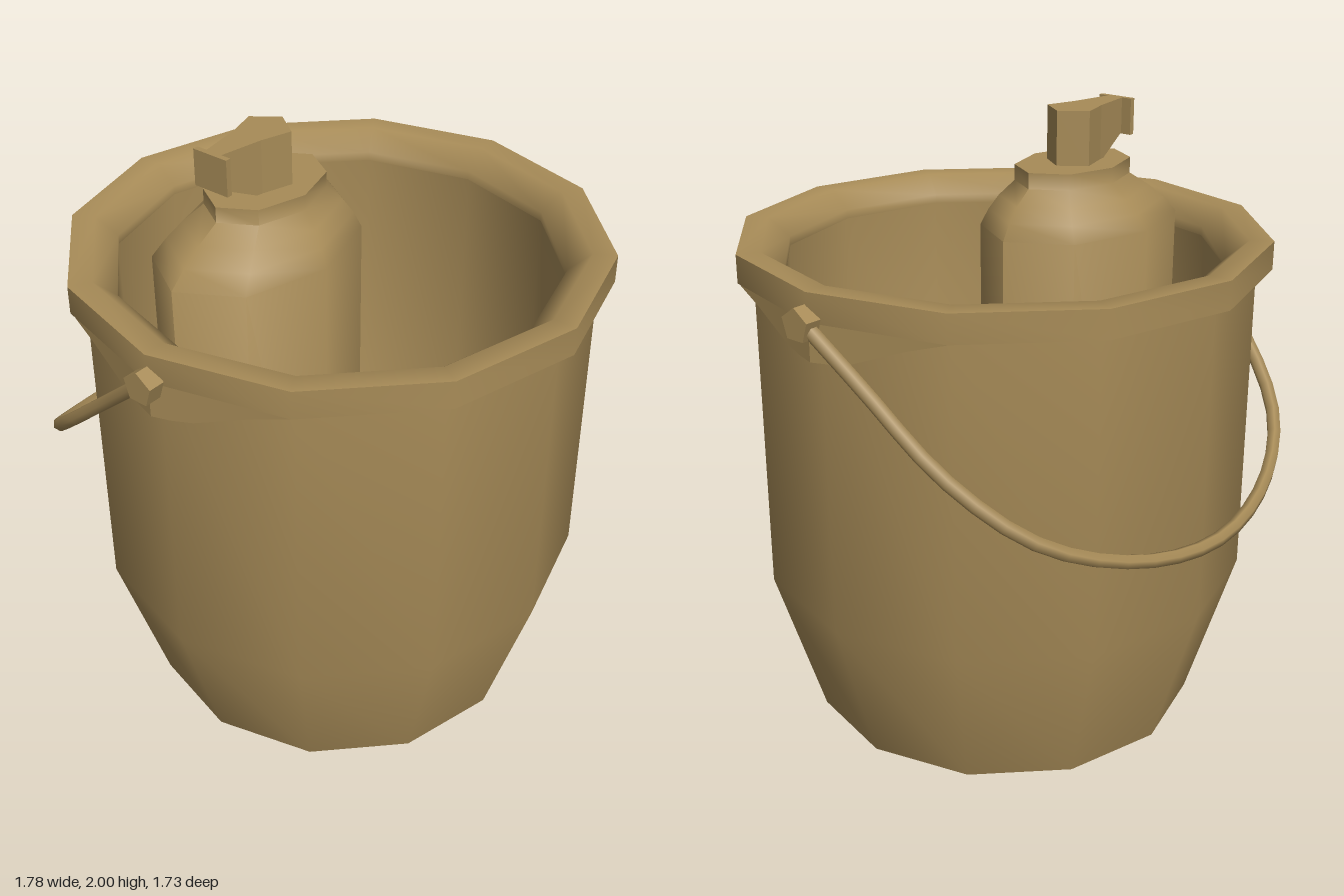
import * as THREE from 'three';
import { toCreasedNormals } from 'three/addons/utils/BufferGeometryUtils.js';

const material = new THREE.MeshStandardMaterial({ color: 0xa88c58 });
const CZ = 0.01; // bucket axis

function add(parent, name, geometry, x = 0, y = 0, z = 0) {
  const mesh = new THREE.Mesh(geometry, material);
  mesh.name = name;
  mesh.position.set(x, y, z);
  parent.add(mesh);
  return mesh;
}

function lathe(profile, sides) {
  return new THREE.LatheGeometry(profile.map(([r, y]) => new THREE.Vector2(r, y)), sides);
}

// Applies a rule to every vertex
function reshape(geometry, rule) {
  const p = geometry.attributes.position;
  const v = new THREE.Vector3();
  for (let i = 0; i < p.count; i++) {
    rule(v.fromBufferAttribute(p, i));
    p.setXYZ(i, v.x, v.y, v.z);
  }
  geometry.computeVertexNormals();
  return geometry;
}

function extrude(points, depth) {
  const shape = new THREE.Shape(points.map(([x, y]) => new THREE.Vector2(x, y)));
  return new THREE.ExtrudeGeometry(shape, { depth, bevelEnabled: false });
}

// Half of the curved gusset under the rim, following the rim's facets
function gusset(side, dir) {
  const half = [[0, 1.54], [0, 1.41], [0.06, 1.413], [0.13, 1.425], [0.3, 1.49], [0.43, 1.53], [0.43, 1.54]];
  const points = half.map(([z, y]) => [z * dir, y]);
  const g = extrude(points, 0.09);
  g.rotateY(side * Math.PI / 2);
  g.translate(side * 0.755, 0, 0);
  return reshape(g, (v) => {
    v.x -= side * 0.268 * Math.abs(v.z);
  });
}

export function createModel() {
  const model = new THREE.Group();
  model.name = 'bucketWithBottle';

  // Bucket: underside, outer wall, then the rounded inside
  const bucket = lathe([
    [0, 0.05], [0.645, 0], [0.8, 0.51], [0.8, 1.54],
    [0.71, 1.54], [0.7, 0.55], [0.62, 0.3], [0.48, 0.16], [0.26, 0.09], [0, 0.07],
  ], 12);
  add(model, 'bucketWall', toCreasedNormals(bucket, 1.05), 0, 0, CZ);

  // Rim ring with a sloped inner lip
  const rim = lathe([
    [0.705, 1.53], [0.85, 1.53], [0.85, 1.62], [0.775, 1.62], [0.705, 1.56], [0.705, 1.53],
  ], 12);
  add(model, 'rim', toCreasedNormals(rim, 1.05), 0, 0, CZ);

  // Handle mounts on both sides
  for (const side of [-1, 1]) {
    for (const dir of [-1, 1]) add(model, 'handleGusset', gusset(side, dir), 0, 0, CZ);
    const pin = new THREE.CylinderGeometry(0.053, 0.053, 0.055, 5, 1, false, Math.PI / 2).toNonIndexed();
    pin.computeVertexNormals();
    pin.rotateZ(Math.PI / 2);
    add(model, 'handlePin', pin, side * 0.865, 1.53, 0.015);
  }

  // Bail handle hanging towards the back in a tilted plane
  const half = [[0.865, 0.01], [0.83, -0.17], [0.775, -0.44], [0.63, -0.65], [0.35, -0.79]];
  const path = [...half, [0, -0.845], ...half.slice().reverse().map(([x, z]) => [-x, z])];
  const curve = new THREE.CatmullRomCurve3(path.map(([x, z]) => new THREE.Vector3(x, 1.525 + 0.86 * z, z)));
  add(model, 'handle', new THREE.TubeGeometry(curve, 32, 0.023, 6, false));

  // Oval bottle standing in the bucket, its neck set slightly to one side
  const bottle = reshape(lathe([
    [0, 0.03], [1, 0.03], [1, 1.64], [0.89, 1.69], [0.76, 1.735], [0.58, 1.78], [0.58, 1.83], [0, 1.83],
  ], 8), (v) => {
    const lean = 0.04 * THREE.MathUtils.clamp((v.y - 1.64) / 0.14, 0, 1);
    v.set(v.x * 0.38 + lean, v.y, v.z * 0.265);
  });
  add(model, 'bottle', toCreasedNormals(bottle, 1.05), -0.21, 0, -0.135);

  // Pump head: tapered plan, with the underside rising to the spout
  const plan = [[-0.385, 0.11], [-0.24, 0.085], [-0.14, 0.055], [-0.08, 0.14], [-0.14, 0.22], [-0.24, 0.19], [-0.385, 0.165]];
  const head = extrude(plan, 0.18);
  head.rotateX(-Math.PI / 2);
  head.translate(0, 1.82, 0);
  reshape(head, (v) => {
    if (v.x < -0.3 && v.y < 1.9) v.y = 1.89;
  });
  add(model, 'pumpHead', head);
  add(model, 'spoutPlate', new THREE.BoxGeometry(0.018, 0.115, 0.125), -0.391, 1.9425, -0.138);

  return model;
}
